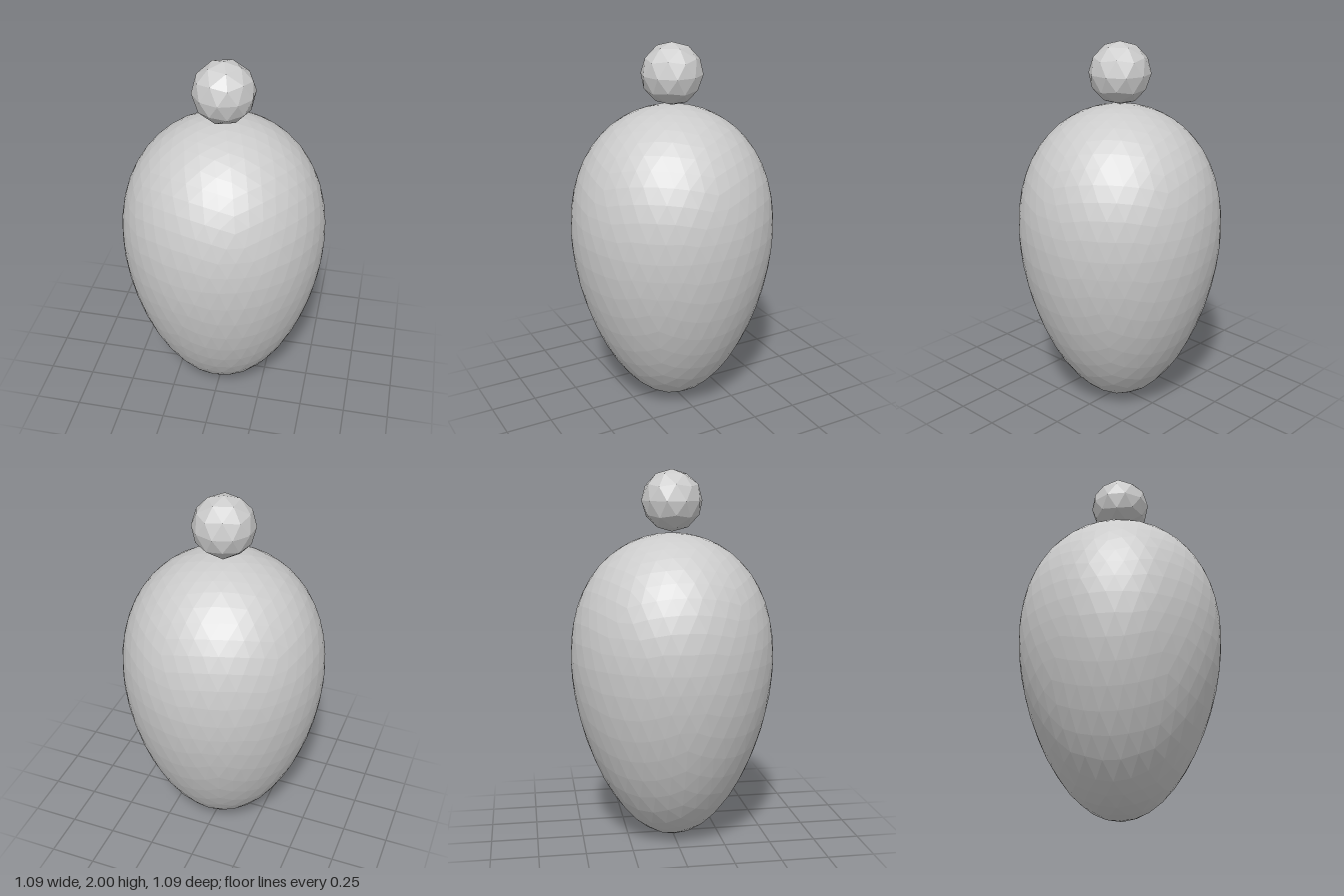
import * as THREE from 'three';

const material = new THREE.MeshStandardMaterial({ color: 0xcccccc, flatShading: true });

// Triangles of a unit icosahedron standing on a corner, split and rounded a number of times
function icosphere(splits) {
  const h = 1 / Math.sqrt(5), r = 2 * h;
  const ring = (y, turn) => Array.from({ length: 5 }, (_, k) => {
    const a = (k + turn) * Math.PI * 0.4;
    return new THREE.Vector3(r * Math.cos(a), y, r * Math.sin(a));
  });
  const top = new THREE.Vector3(0, 1, 0), bottom = new THREE.Vector3(0, -1, 0);
  const U = ring(h, 0), L = ring(-h, 0.5);
  let faces = [];
  for (let k = 0; k < 5; k++) {
    const n = (k + 1) % 5;
    faces.push([top, U[n], U[k]], [U[k], U[n], L[k]], [L[k], U[n], L[n]], [L[k], L[n], bottom]);
  }
  const mid = (a, b) => a.clone().add(b).normalize();
  for (let i = 0; i < splits; i++) {
    faces = faces.flatMap(([a, b, c]) => {
      const ab = mid(a, b), bc = mid(b, c), ca = mid(c, a);
      return [[a, ab, ca], [ab, b, bc], [ca, bc, c], [ab, bc, ca]];
    });
  }
  return faces;
}

// Faceted mesh from an icosphere whose points are moved by a rule
function facetedBall(name, splits, place) {
  const points = icosphere(splits).flat().map(place);
  const geometry = new THREE.BufferGeometry().setFromPoints(points);
  geometry.computeVertexNormals();
  const mesh = new THREE.Mesh(geometry, material);
  mesh.name = name;
  return mesh;
}

export function createModel() {
  const group = new THREE.Group();
  group.name = 'eggWithBall';

  // Egg body: blunt above, drawn out towards the bottom
  group.add(facetedBall('body', 3, (p) => {
    const stretch = 0.792 - 0.17 * p.y + 0.043 * p.y * p.y;
    return new THREE.Vector3(p.x * 0.547, 1.005 + p.y * stretch, p.z * 0.547);
  }));

  // Small ball resting on top
  const ball = facetedBall('topBall', 2 - 1, (p) => p.clone().multiplyScalar(0.163));
  ball.position.y = 1.837;
  group.add(ball);

  return group;
}
